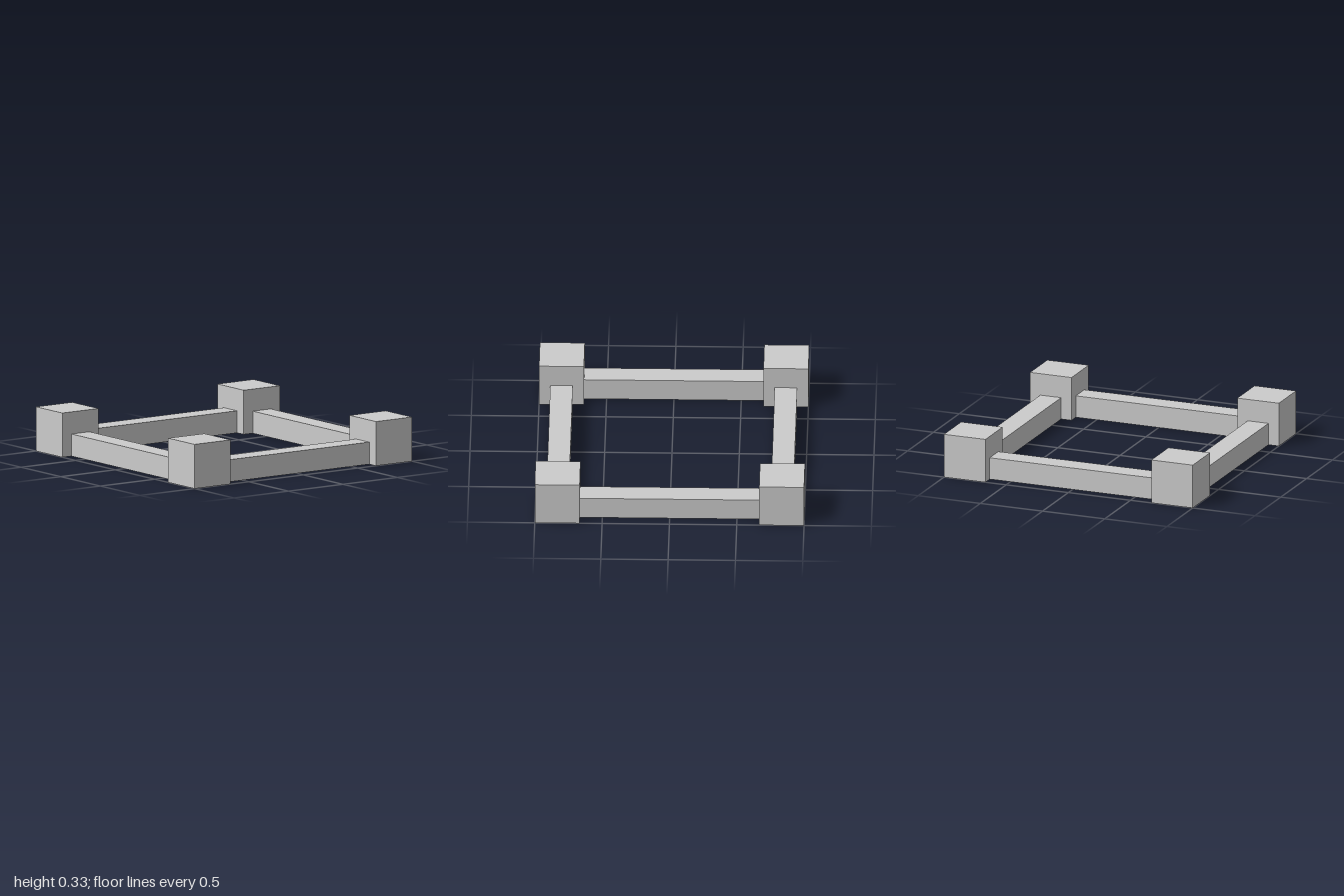
import * as THREE from 'three';

const POST = 1 / 3;          // corner cube edge
const RAIL = 1 / 6;          // rail width and height
const OFFSET = 1 - POST / 2; // post and rail centre lines
const SPAN = 2 - 2 * POST;   // clear length between posts

export function createModel() {
  const group = new THREE.Group();
  group.name = 'squareFrame';
  const material = new THREE.MeshStandardMaterial({ color: 0xcccccc, flatShading: true });

  // Box standing on the ground
  const addBox = (name, w, h, d, x, z) => {
    const mesh = new THREE.Mesh(new THREE.BoxGeometry(w, h, d), material);
    mesh.name = name;
    mesh.position.set(x, h / 2, z);
    group.add(mesh);
  };

  for (const s of [-1, 1]) {
    const side = s > 0 ? 'left' : 'right';
    const end = s > 0 ? 'front' : 'back';

    // Corner posts
    addBox(`${side}FrontPost`, POST, POST, POST, s * OFFSET, OFFSET);
    addBox(`${side}BackPost`, POST, POST, POST, s * OFFSET, -OFFSET);

    // Low rails joining the posts
    addBox(`${end}Rail`, SPAN, RAIL, RAIL, 0, s * OFFSET);
    addBox(`${side}Rail`, RAIL, RAIL, SPAN, s * OFFSET, 0);
  }
  return group;
}
